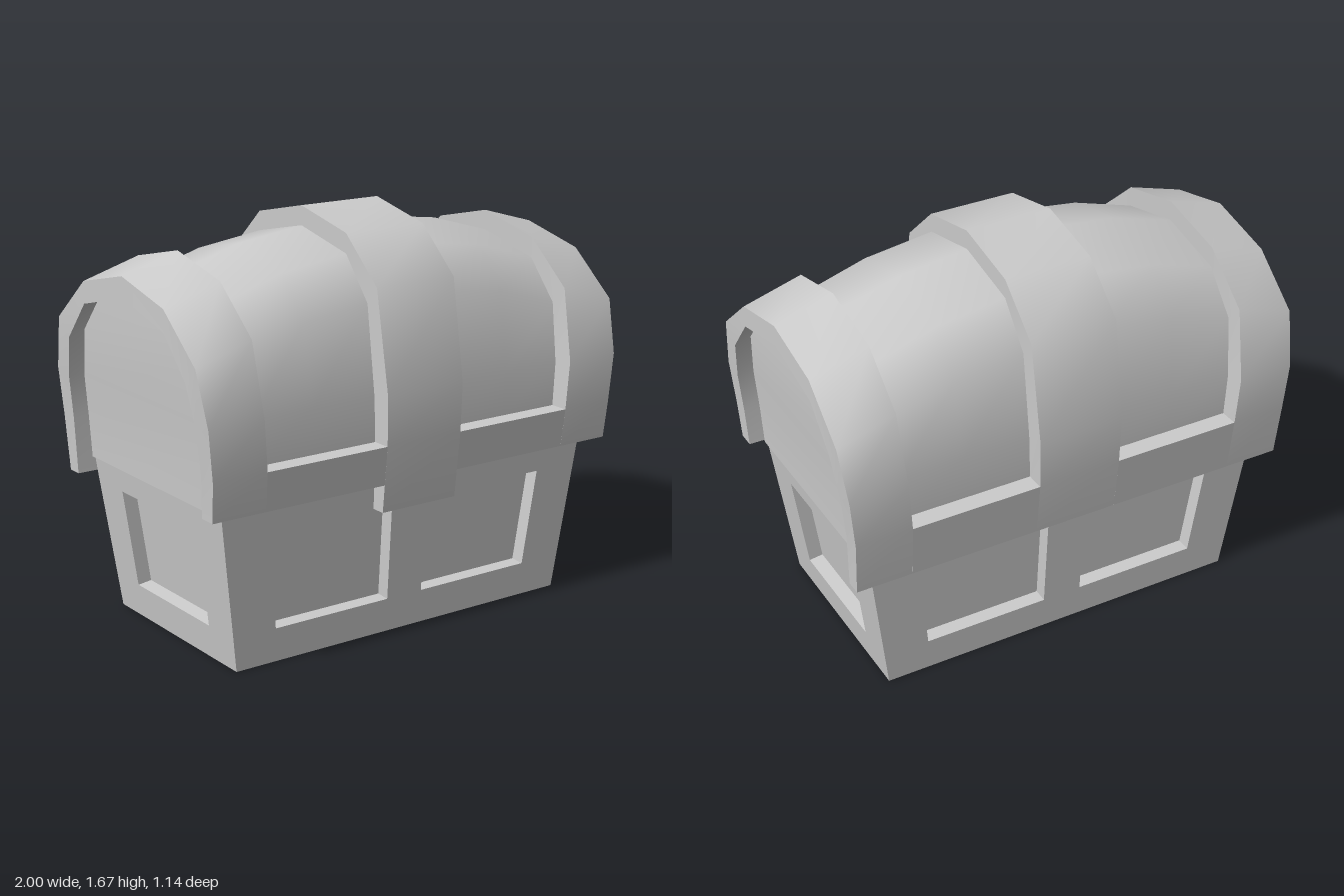
import * as THREE from 'three';
import { toCreasedNormals } from 'three/addons/utils/BufferGeometryUtils.js';

const material = new THREE.MeshStandardMaterial({ color: 0xcccccc });
const DEPTH = 0.06; // depth of the recessed base panels
const H = 0.65; // base height

function add(group, geometry, name) {
  const mesh = new THREE.Mesh(geometry, material);
  mesh.name = name;
  group.add(mesh);
}

// The lid bulges towards its middle: 1 at the centre, 0 at the ends
function bulge(x) {
  const a = Math.abs(x);
  const k = [[0.185, 1], [0.48, 0.8], [0.755, 0.38], [1, 0]];
  if (a <= k[0][0]) return 1;
  for (let i = 1; i < k.length; i++) {
    if (a <= k[i][0]) return THREE.MathUtils.mapLinear(a, k[i - 1][0], k[i][0], k[i - 1][1], k[i][1]);
  }
  return 0;
}

// Lid ends lean slightly outward with height
const lean = (y) => 0.96 + 0.04 * THREE.MathUtils.clamp((y - 0.75) / 0.45, 0, 1);

// Arch cross-sections as [z, y], from the front edge over the top to the back edge
function arch(half, front, back) {
  const mirrored = half.slice(0, -1).reverse().map(([z, y]) => [-z, y]);
  return [front, ...half, ...mirrored, back];
}
function outerArch(x, frontY, backY) {
  const b = bulge(x);
  const edge = (y) => 0.565 - (0.82 - y) * 0.11;
  return arch([[0.565, 0.82], [0.57, 1.02], [0.515 - 0.015 * b, 1.24 + 0.19 * b], [0.3, 1.42 + 0.19 * b], [0, 1.49 + 0.185 * b]],
    [edge(frontY), frontY], [-edge(backY), backY]);
}
function innerArch(x, frontY, backY) {
  const b = bulge(x);
  return arch([[0.485, 0.82], [0.483, 1.0], [0.44, 1.17 + 0.19 * b], [0.3, 1.33 + 0.2 * b], [0, 1.405 + 0.19 * b]],
    [0.475, frontY], [-0.475, backY]);
}

// Sweeps a closed cross-section along x and caps both ends
function loft(stations, loopAt) {
  const rings = stations.map((x) => loopAt(x).map(([z, y]) => [x * lean(y), y, z]));
  const n = rings[0].length, pos = [];
  const quad = (a, b, c, d) => pos.push(...a, ...b, ...c, ...a, ...c, ...d);
  for (let i = 0; i + 1 < rings.length; i++) {
    for (let k = 0; k < n; k++) {
      const m = (k + 1) % n;
      quad(rings[i][k], rings[i + 1][k], rings[i + 1][m], rings[i][m]);
    }
  }
  const s = rings[0], e = rings[rings.length - 1];
  for (let k = 0; k < Math.floor(n / 2); k++) {
    const p = n - 1 - k;
    if (k + 1 > p - 1) break;
    quad(s[p], s[k], s[k + 1], s[p - 1]);
    quad(e[p - 1], e[k + 1], e[k], e[p]);
  }
  const g = new THREE.BufferGeometry();
  g.setAttribute('position', new THREE.Float32BufferAttribute(pos, 3));
  return toCreasedNormals(g, 0.75);
}

const shell = (stations, frontY, backY) =>
  loft(stations, (x) => [...outerArch(x, frontY, backY), ...innerArch(x, frontY, backY).reverse()]);

// Sloping base wall with trapezoid openings
function wall(bottom, top, out0, out1, holes, angle) {
  const a = Math.atan((out1 - out0) / H);
  const trapezoid = (pts) => pts.map(([x, y]) => new THREE.Vector2(x, y / Math.cos(a)));
  const shape = new THREE.Shape(trapezoid([[-bottom, 0], [bottom, 0], [top, H], [-top, H]]));
  for (const h of holes) shape.holes.push(new THREE.Path(trapezoid(h)));
  const g = new THREE.ExtrudeGeometry(shape, { depth: DEPTH, bevelEnabled: false });
  return g.translate(0, 0, -DEPTH).rotateX(a).translate(0, 0, out0).rotateY(angle);
}

export function createModel() {
  const chest = new THREE.Group();
  chest.name = 'chest';
  const base = new THREE.Group();
  base.name = 'base';
  const lid = new THREE.Group();
  lid.name = 'lid';
  chest.add(base, lid);

  // Base walls: two panels on front and back, one on each end
  const longHoles = [1, -1].map((s) => [[0.085 * s, 0.14], [0.62 * s, 0.14], [0.665 * s, 0.545], [0.085 * s, 0.545]]);
  const endHole = [[[-0.27, 0.14], [0.27, 0.14], [0.285, 0.545], [-0.285, 0.545]]];
  [['frontWall', 0], ['backWall', Math.PI]].forEach(([name, angle]) =>
    add(base, wall(0.795, 0.88, 0.435, 0.48, longHoles, angle), name));
  [['leftWall', Math.PI / 2], ['rightWall', -Math.PI / 2]].forEach(([name, angle]) =>
    add(base, wall(0.435, 0.48, 0.795, 0.88, endHole, angle), name));

  // Tapered core that backs the recessed panels
  const core = new THREE.BoxGeometry(2, H, 2).translate(0, H / 2, 0);
  const p = core.attributes.position;
  for (let i = 0; i < p.count; i++) {
    const up = p.getY(i) > 0.1;
    p.setX(i, p.getX(i) * ((up ? 0.88 : 0.795) - DEPTH));
    p.setZ(i, p.getZ(i) * ((up ? 0.48 : 0.435) - DEPTH));
  }
  core.computeVertexNormals();
  add(base, core, 'basePanels');
  add(base, new THREE.PlaneGeometry(1.59, 0.87).rotateX(Math.PI / 2), 'floor');

  // Arched lid body, forming the recessed lid and end panels
  add(lid, loft([-0.93, -0.755, -0.48, -0.185, 0.185, 0.48, 0.755, 0.93], (x) => innerArch(x, H, H)), 'lidPanels');

  // Raised bands over the lid; the middle one ends in a front tab
  add(lid, shell([0.755, 1], 0.66, 0.59), 'leftBand');
  add(lid, shell([-1, -0.755], 0.66, 0.59), 'rightBand');
  add(lid, shell([-0.185, 0.185], 0.545, 0.59), 'middleBand');

  // Rails along the lower edge of the lid, between the bands
  for (const [side, stations] of [['left', [0.185, 0.755]], ['right', [-0.755, -0.185]]]) {
    add(lid, loft(stations, () => [[0.547, 0.66], [0.565, 0.82], [0.485, 0.82], [0.475, 0.66]]), side + 'FrontRail');
    add(lid, loft(stations, () => [[-0.475, 0.59], [-0.485, 0.82], [-0.565, 0.82], [-0.54, 0.59]]), side + 'BackRail');
  }
  return chest;
}
